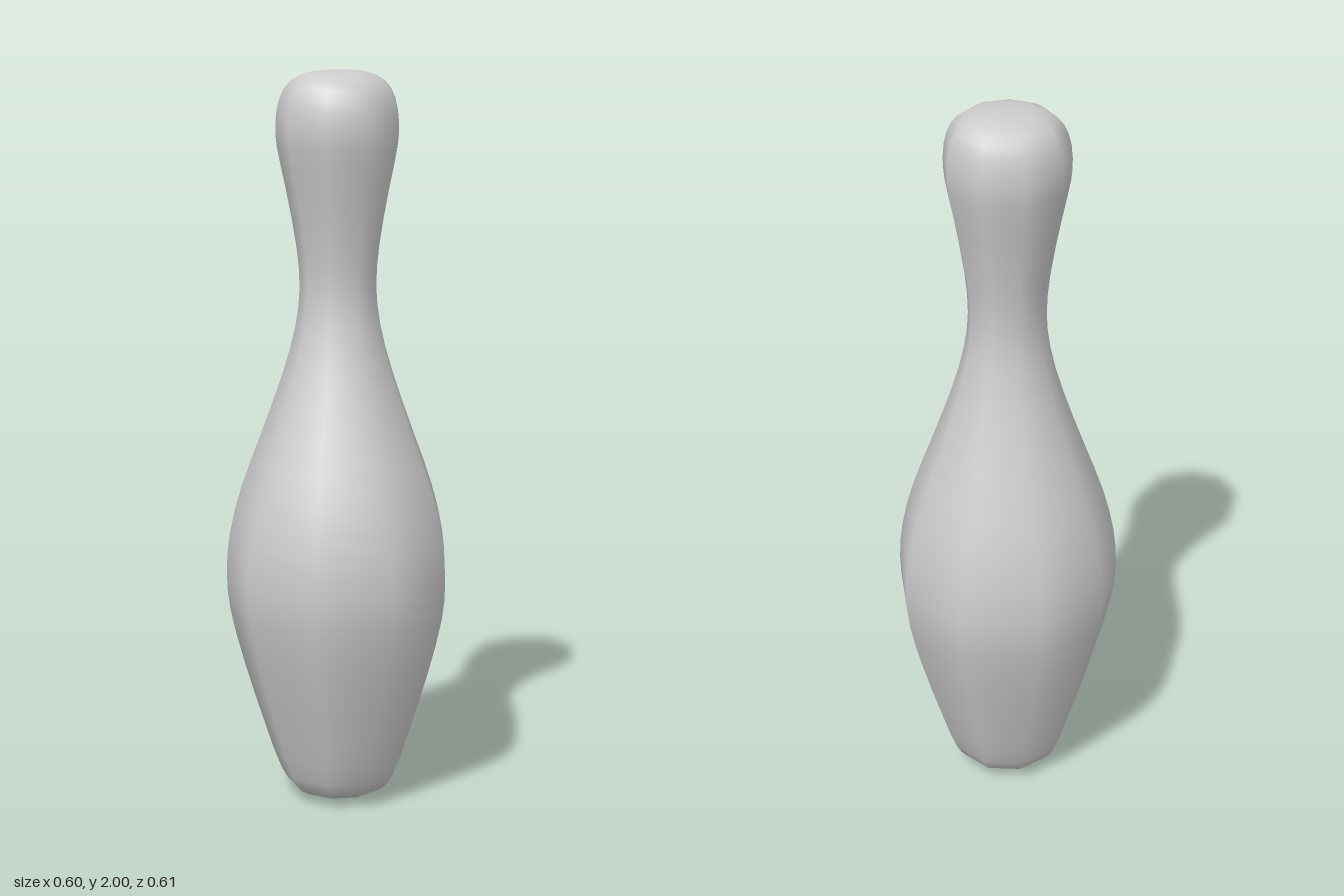
import * as THREE from 'three';

export function createModel() {
  const group = new THREE.Group();
  group.name = 'bowlingPin';

  // Half outline from the small opening in the base up to the crown: [radius, height]
  const outline = [
    [0.02, 0], [0.08, 0.012], [0.13, 0.033], [0.16, 0.075], [0.205, 0.2],
    [0.262, 0.38], [0.3, 0.53], [0.309, 0.63], [0.3, 0.74], [0.268, 0.87],
    [0.213, 1.02], [0.152, 1.19], [0.117, 1.32], [0.106, 1.42], [0.114, 1.53],
    [0.143, 1.69], [0.166, 1.8], [0.169, 1.86], [0.158, 1.925], [0.13, 1.97],
    [0.075, 1.995], [0, 2],
  ].map(([r, y]) => new THREE.Vector3(r, y, 0));

  const profile = new THREE.CatmullRomCurve3(outline)
    .getPoints(42)
    .map((p) => new THREE.Vector2(Math.max(p.x, 0), THREE.MathUtils.clamp(p.y, 0, 2)));

  // Nine smooth-shaded sides with one corner pointing to +x
  const body = new THREE.Mesh(
    new THREE.LatheGeometry(profile, 9, Math.PI / 2),
    new THREE.MeshStandardMaterial({ color: 0xcccccc })
  );
  body.name = 'pinBody';
  body.position.x = -0.0093; // centres the odd-sided outline
  group.add(body);

  return group;
}
